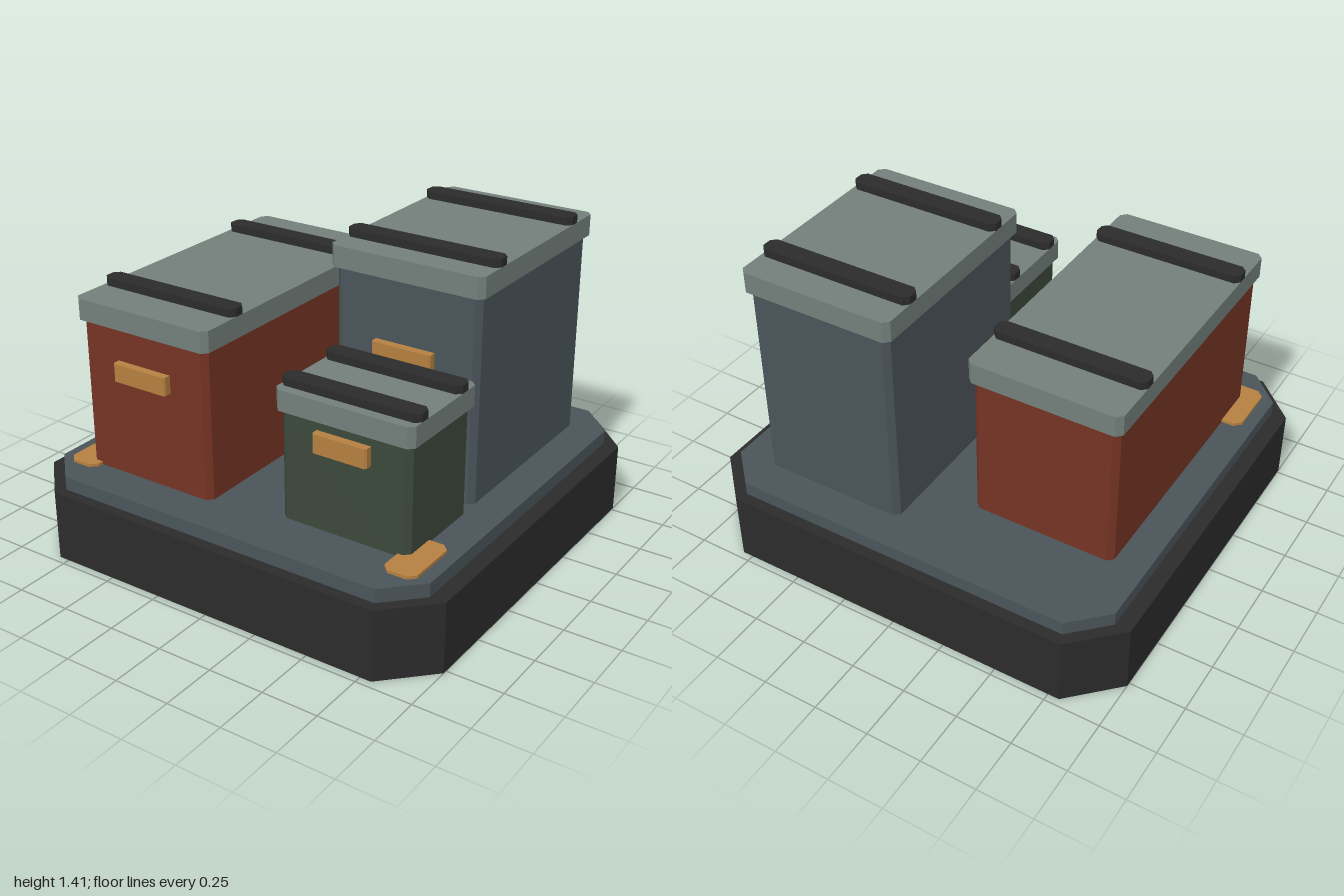
import * as THREE from 'three';

const material = (name, color) => {
  const m = new THREE.MeshStandardMaterial({ color });
  m.name = name;
  return m;
};

export function createModel() {
  const charcoal = material('charcoal', 0x2b2b2b);
  const slate = material('slate', 0x4a5459);
  const greyGreen = material('grey green', 0x737f7b);
  const rust = material('rust red', 0x753423);
  const green = material('dark green', 0x3c483b);
  const ochre = material('ochre', 0xb58040);

  // Upright block with chamfered vertical edges, given by its bounds
  function block(name, mat, [x0, x1], [y0, y1], [z0, z1], c) {
    const w = (x1 - x0) / 2, d = (z1 - z0) / 2;
    const shape = new THREE.Shape([
      [w, c - d], [w, d - c], [w - c, d], [c - w, d],
      [-w, d - c], [-w, c - d], [c - w, -d], [w - c, -d],
    ].map(([x, y]) => new THREE.Vector2(x, y)));
    const geometry = new THREE.ExtrudeGeometry(shape, { depth: y1 - y0, bevelEnabled: false });
    geometry.rotateX(-Math.PI / 2);
    const mesh = new THREE.Mesh(geometry, mat);
    mesh.name = name;
    mesh.position.set((x0 + x1) / 2, y0, (z0 + z1) / 2);
    return mesh;
  }

  const model = new THREE.Group();
  model.name = 'crateDisplay';

  // Plinth and deck
  model.add(
    block('plinth', charcoal, [-1, 1], [0, 0.315], [-0.967, 0.967], 0.2),
    block('deck', slate, [-0.93, 0.93], [0.315, 0.376], [-0.917, 0.917], 0.15),
  );

  // Crate with overhanging lid, two straps and a front label plate
  function crate(name, mat, { x, z, lidX, lidZ, lidY, straps, labelX, labelY }) {
    const group = new THREE.Group();
    group.name = name;
    group.add(
      block('body', mat, x, [0.37, lidY[0]], z, 0.025),
      block('lid', greyGreen, lidX, lidY, lidZ, 0.025),
      block('label', ochre, labelX, labelY, [z[1] - 0.01, z[1] + 0.037], 0.008),
    );
    for (const s of straps) {
      group.add(block('strap', charcoal, lidX, [lidY[1], lidY[1] + 0.035], [s - 0.043, s + 0.043], 0.022));
    }
    model.add(group);
  }

  crate('longCrate', rust, {
    x: [-0.786, -0.134], z: [-0.53, 0.741],
    lidX: [-0.803, -0.117], lidZ: [-0.549, 0.76], lidY: [1.042, 1.136],
    straps: [-0.313, 0.537], labelX: [-0.594, -0.321], labelY: [0.817, 0.897],
  });
  crate('tallCrate', slate, {
    x: [0.1, 0.772], z: [-0.756, 0.171],
    lidX: [0.081, 0.79], lidZ: [-0.776, 0.191], lidY: [1.283, 1.376],
    straps: [-0.597, 0.025], labelX: [0.298, 0.575], labelY: [0.93, 1.009],
  });
  crate('smallCrate', green, {
    x: [0.176, 0.775], z: [0.223, 0.673],
    lidX: [0.158, 0.794], lidZ: [0.204, 0.691], lidY: [0.856, 0.947],
    straps: [0.303, 0.604], labelX: [0.352, 0.602], labelY: [0.73, 0.813],
  });

  // Corner plates lying on the deck
  for (const side of [-1, 1]) {
    model.add(block('cornerPlate', ochre, [side * 0.8 - 0.073, side * 0.8 + 0.073], [0.376, 0.389], [0.518, 0.796], 0.03));
  }
  return model;
}
